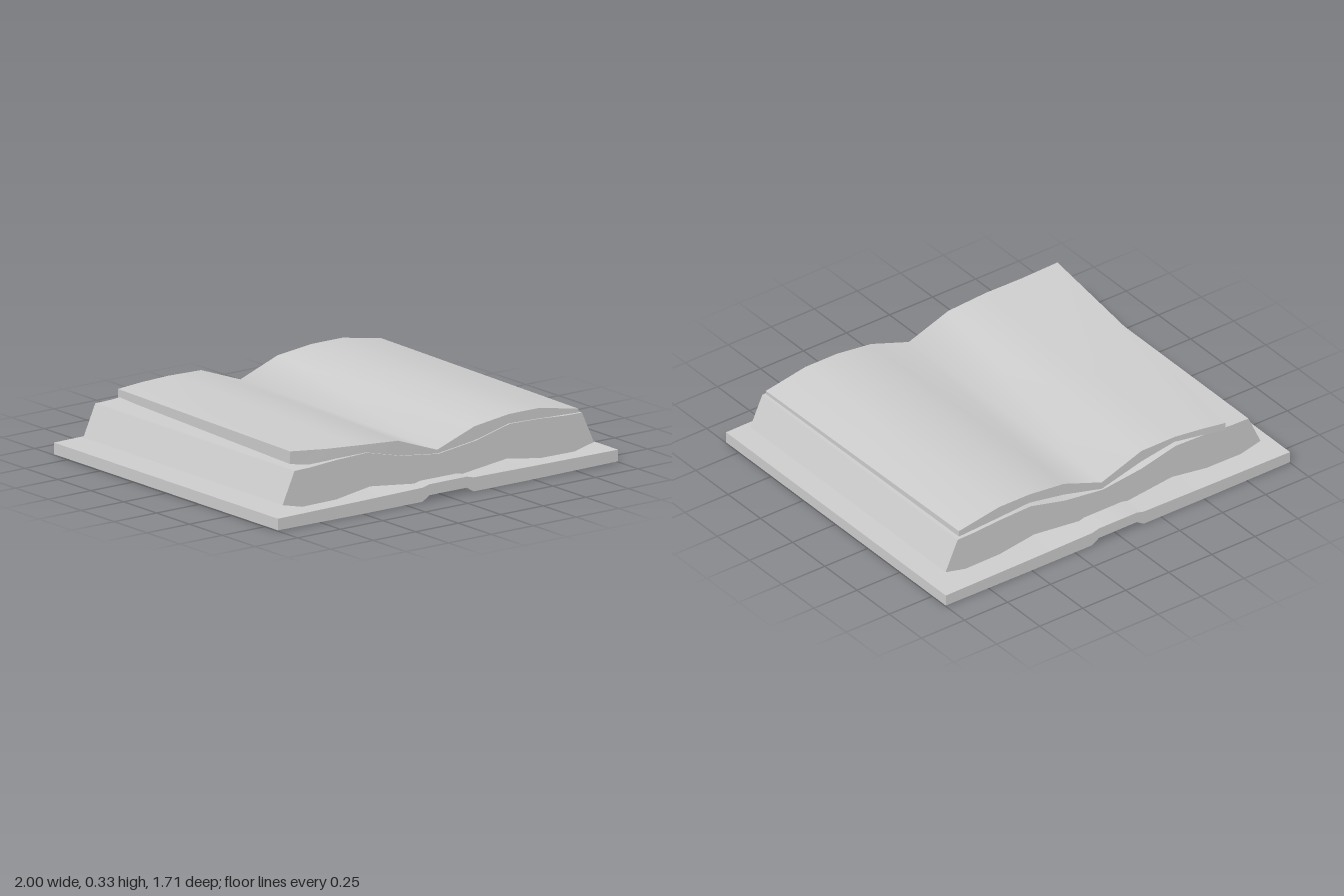
import * as THREE from 'three';
import { mergeGeometries } from 'three/addons/utils/BufferGeometryUtils.js';

// Surface between two equally long rows of points, smooth along its length.
function strip(a, b) {
  const n = a.length, index = [];
  for (let i = 0; i < n - 1; i++) index.push(i, i + 1, n + i + 1, i, n + i + 1, n + i);
  const g = new THREE.BufferGeometry();
  g.setAttribute('position', new THREE.Float32BufferAttribute([...a, ...b].flat(), 3));
  g.setIndex(index);
  g.computeVertexNormals();
  return g;
}

// Closed slab from four rows of [x, y, z]: top and bottom, front and back.
function slab(frontTop, frontBottom, backTop, backBottom) {
  const end = n => [frontBottom, backBottom, frontTop, backTop].map(r => r[n]);
  const [lfb, lbb, lft, lbt] = end(0);
  const [rfb, rbb, rft, rbt] = end(frontTop.length - 1);
  return mergeGeometries([
    strip(frontTop, backTop), strip(backBottom, frontBottom),
    strip(frontBottom, frontTop), strip(backTop, backBottom),
    strip([rfb, rbb], [rft, rbt]), strip([lbb, lfb], [lbt, lft]),
  ]);
}

const atZ = (profile, z) => profile.map(([x, y]) => [x, y, z]);
const mirrored = half => [...half.slice(1).reverse().map(([x, y]) => [-x, y]), ...half];

export function createModel() {
  const model = new THREE.Group();
  const paper = new THREE.MeshStandardMaterial({ color: 0xcccccc });
  paper.name = 'light grey';
  const add = (name, geometry) => {
    const mesh = new THREE.Mesh(geometry, paper);
    mesh.name = name;
    model.add(mesh);
  };

  // Cover board with a raised spine in the middle
  const coverTop = mirrored([[0, 0.078], [0.11, 0.078], [0.15, 0.068], [0.5, 0.064], [1, 0.06]]);
  const coverBottom = mirrored([[0, 0.025], [0.11, 0.025], [0.15, 0], [0.5, 0], [1, 0.004]]);
  add('cover', slab(atZ(coverTop, 0.85), atZ(coverBottom, 0.85),
    atZ(coverTop, -0.855), atZ(coverBottom, -0.855)));

  // Thick page block with slanted fore edges and an arched underside
  const blockTop = mirrored([[0, 0.19], [0.22, 0.217], [0.42, 0.265], [0.6, 0.26], [0.75, 0.25], [0.845, 0.248]]);
  const blockBottom = mirrored([[0, 0.074], [0.14, 0.07], [0.4, 0.1], [0.6, 0.07], [0.8, 0.068], [0.915, 0.095]]);
  add('pageBlock', slab(atZ(blockTop, 0.775), atZ(blockBottom, 0.775),
    atZ(blockTop, -0.74), atZ(blockBottom, -0.74)));

  // Loose upper pages, turned askew and curling up at the front corner
  const frontTop = [
    [-0.84, 0.333, 0.735], [-0.64, 0.315, 0.75], [-0.45, 0.305, 0.765], [-0.23, 0.29, 0.767], [0, 0.208, 0.767],
    [0.22, 0.285, 0.767], [0.42, 0.31, 0.767], [0.6, 0.31, 0.767], [0.83, 0.268, 0.767]];
  const frontBottom = [
    [-0.84, 0.272, 0.735], [-0.74, 0.254, 0.743], [-0.45, 0.264, 0.765], [-0.23, 0.218, 0.767], [0, 0.189, 0.767],
    [0.22, 0.216, 0.767], [0.42, 0.264, 0.767], [0.6, 0.259, 0.767], [0.83, 0.25, 0.767]];
  const backTop = [
    [-0.7, 0.29, -0.755], [-0.57, 0.303, -0.745], [-0.42, 0.312, -0.733], [-0.23, 0.308, -0.73], [0, 0.225, -0.73],
    [0.22, 0.305, -0.73], [0.42, 0.326, -0.73], [0.6, 0.326, -0.73], [0.83, 0.285, -0.73]];
  const backBottom = [
    [-0.7, 0.25, -0.755], [-0.57, 0.268, -0.745], [-0.42, 0.285, -0.733], [-0.23, 0.25, -0.73], [0, 0.189, -0.73],
    [0.22, 0.245, -0.73], [0.42, 0.28, -0.73], [0.6, 0.268, -0.73], [0.83, 0.255, -0.73]];
  add('loosePages', slab(frontTop, frontBottom, backTop, backBottom));

  return model;
}
